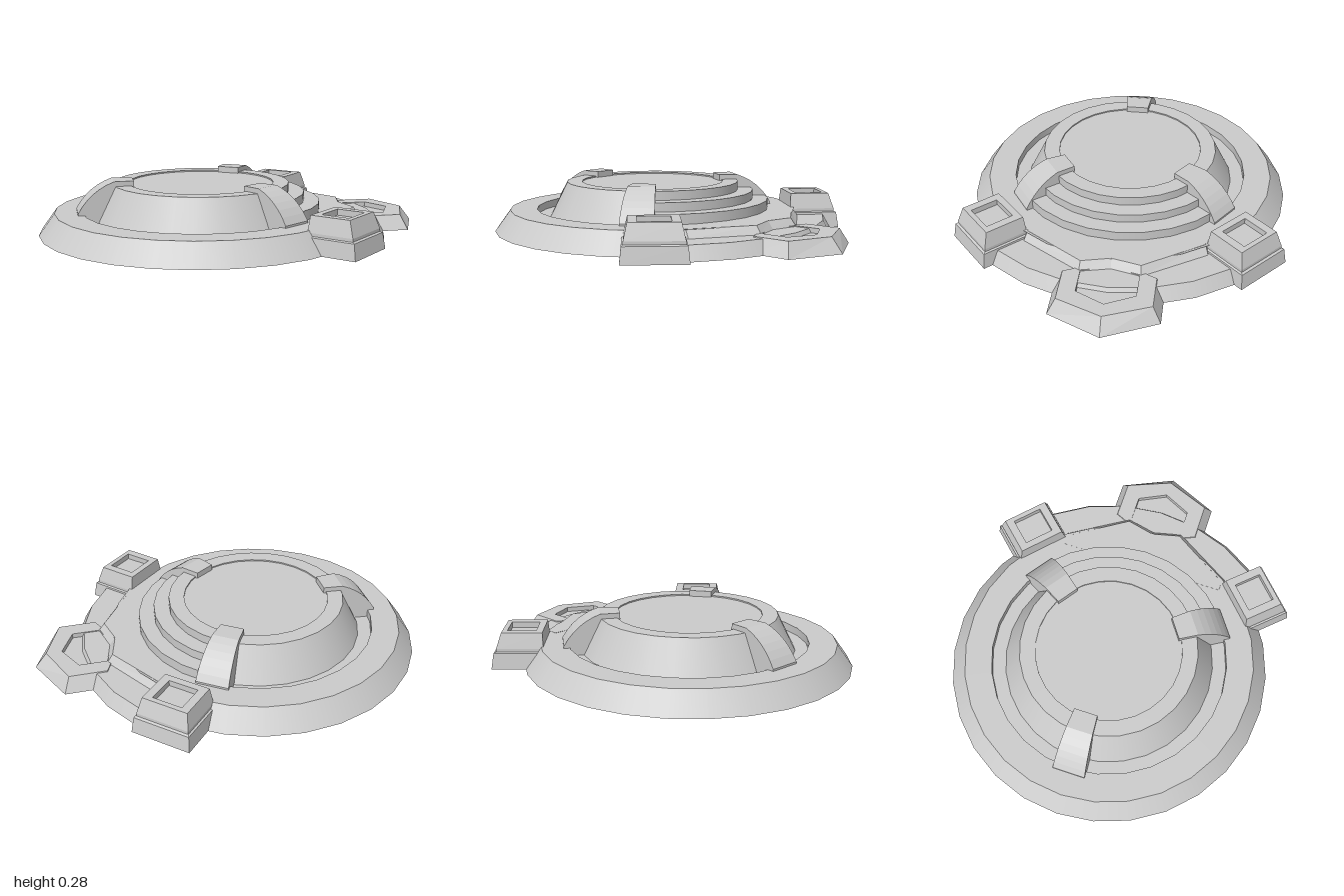
import * as THREE from 'three';

const CX = -0.165; // centre of the round body
const STEP = (Math.PI * 2) / 28;
const smooth = new THREE.MeshStandardMaterial({ color: 0xcccccc, side: THREE.DoubleSide });
const flat = new THREE.MeshStandardMaterial({ color: 0xcccccc, side: THREE.DoubleSide, flatShading: true });

// Revolve a profile with sharp creases; gap = number of facets left open, centred on +x.
// A negative gap builds only those facets instead.
function revolve(name, profile, gap = 0) {
  const group = new THREE.Group();
  group.name = name;
  group.position.x = CX;
  const count = gap >= 0 ? 28 - gap : -gap;
  const start = gap >= 0 ? Math.PI / 2 + (gap / 2) * STEP : Math.PI / 2 + (gap / 2) * STEP;
  for (let i = 0; i < profile.length - 1; i++) {
    const pts = [profile[i + 1], profile[i]].map(([r, y]) => new THREE.Vector2(r, y)).reverse();
    const band = new THREE.Mesh(new THREE.LatheGeometry(pts, count, start, count * STEP), smooth);
    band.name = name + 'Band';
    group.add(band);
  }
  return group;
}

// Skin a stack of rings (counter-clockwise from above) and close the last one.
function loft(name, rings) {
  const pos = [];
  const n = rings[0].length;
  for (let k = 0; k < rings.length - 1; k++) {
    for (let i = 0; i < n; i++) {
      const j = (i + 1) % n, a = rings[k], b = rings[k + 1];
      pos.push(...a[i], ...a[j], ...b[j], ...a[i], ...b[j], ...b[i]);
    }
  }
  const last = rings[rings.length - 1];
  const mid = [0, 1, 2].map((c) => last.reduce((s, p) => s + p[c], 0) / n);
  for (let i = 0; i < n; i++) pos.push(...mid, ...last[i], ...last[(i + 1) % n]);
  const geo = new THREE.BufferGeometry();
  geo.setAttribute('position', new THREE.Float32BufferAttribute(pos, 3));
  geo.computeVertexNormals();
  const mesh = new THREE.Mesh(geo, flat);
  mesh.name = name;
  return mesh;
}

// Ring mirrored across z from its +z half, listed from the back (-x) to the front (+x).
function mirrored(half, y) {
  const left = half.map(([x, z]) => [x, y, z]);
  const right = half.filter(([, z]) => z > 0).map(([x, z]) => [x, y, -z]).reverse();
  return [...left, ...right];
}

// Curved clamp over the dome edge, narrowing inward
function clamp(angle) {
  const shape = new THREE.Shape();
  shape.moveTo(0.355, 0.07);
  shape.lineTo(0.64, 0.07);
  shape.lineTo(0.64, 0.12);
  shape.quadraticCurveTo(0.575, 0.235, 0.455, 0.275);
  shape.lineTo(0.355, 0.275);
  shape.closePath();
  const geo = new THREE.ExtrudeGeometry(shape, { depth: 1, bevelEnabled: false, curveSegments: 6 });
  geo.translate(0, 0, -0.5);
  const p = geo.attributes.position;
  for (let i = 0; i < p.count; i++) p.setZ(i, p.getZ(i) * (0.12 + (p.getX(i) - 0.355) * 0.17));
  geo.computeVertexNormals();
  const mesh = new THREE.Mesh(geo, flat);
  mesh.name = 'clamp';
  mesh.position.x = CX;
  mesh.rotation.y = angle;
  return mesh;
}

// Two-tier corner block with a square recess on top
function cornerBlock(side) {
  const ring = (x0, x1, z, y) => [[x1, y, z], [x1, y, -z], [x0, y, -z], [x0, y, z]];
  const mesh = loft('cornerBlock', [
    ring(-0.13, 0.13, 0.155, 0),
    ring(-0.13, 0.118, 0.147, 0.08),
    ring(-0.13, 0.106, 0.138, 0.085),
    ring(-0.13, 0.106, 0.138, 0.1),
    ring(-0.125, 0.08, 0.12, 0.18),
    ring(-0.09, 0.055, 0.078, 0.18),
    ring(-0.09, 0.055, 0.078, 0.15),
  ]);
  mesh.position.set(0.41, 0, side * -0.635);
  mesh.rotation.y = side * 0.82;
  return mesh;
}

export function createModel() {
  const model = new THREE.Group();
  model.name = 'landingPlatform';

  // Round body: skirt, walkway with groove, sloped dome, sunken top
  model.add(revolve('skirt', [[0.835, 0], [0.755, 0.11]], 6));
  model.add(revolve('walkway', [[0.755, 0.11], [0.615, 0.11]]));
  model.add(revolve('dome', [[0.615, 0.11], [0.615, 0.07], [0.545, 0.07], [0.455, 0.25]], 8));
  model.add(revolve('topDisc', [[0.455, 0.25], [0.375, 0.25], [0.375, 0.243], [0, 0.243]]));

  // Steps on the +x side
  model.add(revolve('steps', [
    [0.615, 0.11], [0.615, 0.16], [0.535, 0.16], [0.535, 0.205], [0.455, 0.205], [0.455, 0.25],
  ], -8));

  // Clamps
  for (const a of [0.96, -0.96, Math.PI]) model.add(clamp(a));

  // Lower terrace and the raised deck edge behind it
  model.add(revolve('terrace', [[0.95, 0], [0.91, 0.07], [0.7, 0.07]], -6));
  const deckWall = new THREE.Group();
  deckWall.name = 'deckEdge';
  const outer = [[0.46, 0.455], [0.65, 0.15], [0.615, 0]];
  const inner = [[0.43, 0.44], [0.62, 0.145], [0.585, 0]];
  deckWall.add(loft('deck', [
    mirrored([[0.38, 0.46], ...outer], 0.07),
    mirrored([[0.38, 0.44], ...inner], 0.111),
  ]));
  model.add(deckWall);

  // Hexagonal pad with a recess
  model.add(loft('hexagonPad', [
    mirrored([[0.54, 0], [0.66, 0.265], [0.88, 0.265], [1, 0]], 0),
    mirrored([[0.56, 0], [0.66, 0.225], [0.85, 0.225], [0.94, 0]], 0.075),
    mirrored([[0.6, 0], [0.65, 0.142], [0.79, 0.142], [0.86, 0]], 0.075),
    mirrored([[0.6, 0], [0.65, 0.142], [0.79, 0.142], [0.86, 0]], 0.05),
  ]));

  // Corner blocks
  for (const side of [1, -1]) model.add(cornerBlock(side));

  return model;
}
